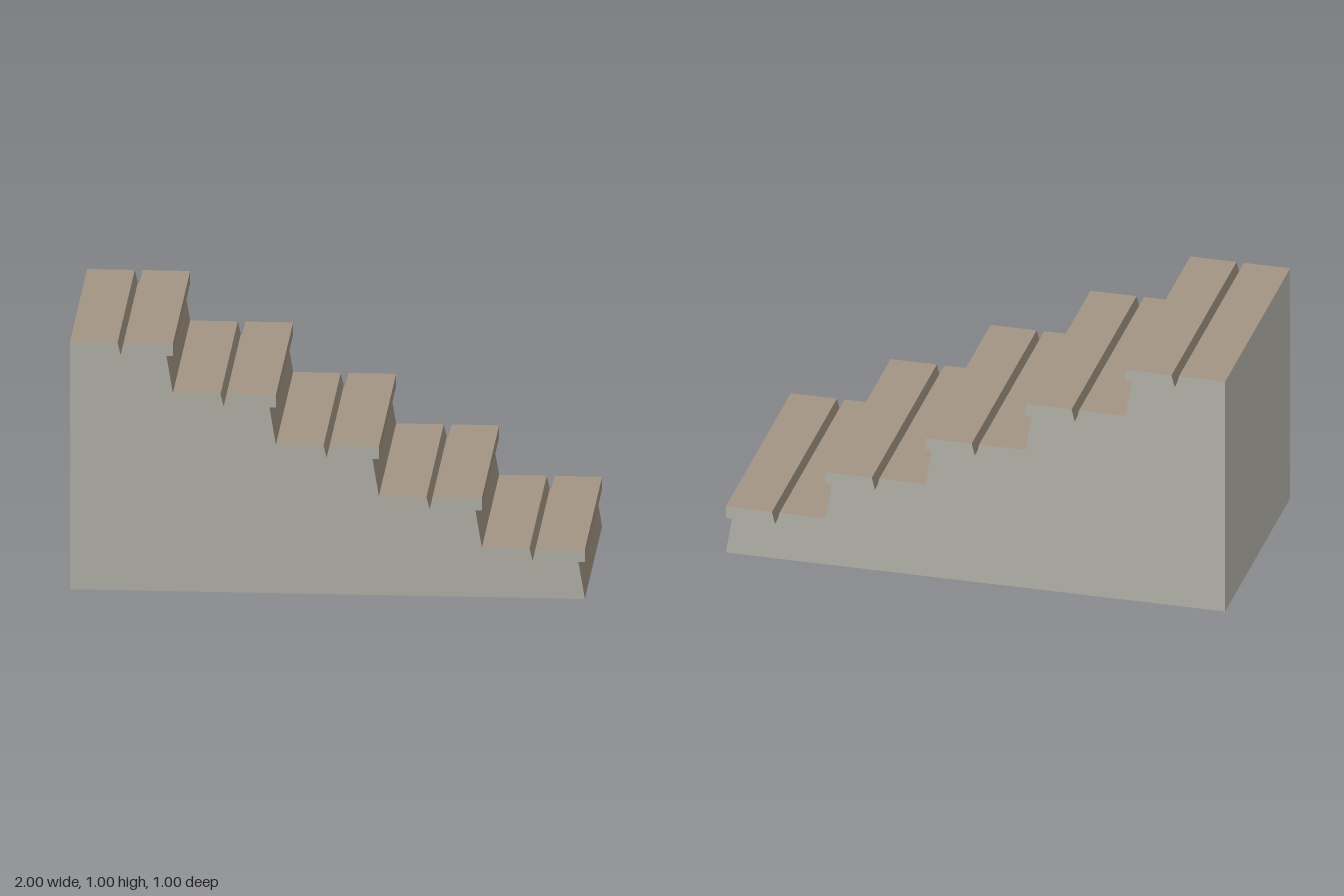
import * as THREE from 'three';

const STEPS = 5, RISE = 0.2, RUN = 0.4, DEPTH = 1;

// Side profile: back edge, then each tread, groove, nosing and leaning riser
function stairProfile() {
  const shape = new THREE.Shape();
  shape.moveTo(-1, 0);
  shape.lineTo(-1, 1);
  for (let i = 0; i < STEPS; i++) {
    const top = 1 - i * RISE;
    const nose = -0.6 + i * RUN;
    const mid = nose - 0.2;
    // V-shaped grip groove
    shape.lineTo(mid - 0.015, top);
    shape.lineTo(mid - 0.003, top - 0.05);
    shape.lineTo(mid + 0.003, top - 0.05);
    shape.lineTo(mid + 0.015, top);
    // overhanging nosing and undercut riser
    shape.lineTo(nose, top);
    shape.lineTo(nose, top - 0.05);
    shape.lineTo(nose - 0.025, top - 0.05);
    shape.lineTo(nose, top - RISE);
  }
  shape.closePath();
  return shape;
}

export function createModel() {
  const stone = new THREE.MeshStandardMaterial({ color: 0xbdbcb3 });
  stone.name = 'greyStone';
  const tread = new THREE.MeshStandardMaterial({ color: 0xa39584 });
  tread.name = 'tanTread';

  const geometry = new THREE.ExtrudeGeometry(stairProfile(), { depth: DEPTH, bevelEnabled: false });
  geometry.translate(0, 0, -DEPTH / 2);

  // Grey for the flat sides, back and base; tan for every stepped surface
  const pos = geometry.attributes.position;
  const same = (get, i, value) =>
    [i, i + 1, i + 2].every((k) => Math.abs(get(k) - value) < 1e-5);
  const x = (k) => pos.getX(k), y = (k) => pos.getY(k), z = (k) => pos.getZ(k);
  geometry.clearGroups();
  let start = 0, current = -1;
  for (let i = 0; i < pos.count; i += 3) {
    const grey = same(z, i, DEPTH / 2) || same(z, i, -DEPTH / 2) || same(x, i, -1) || same(y, i, 0);
    const index = grey ? 0 : 1;
    if (index !== current) {
      if (current >= 0) geometry.addGroup(start, i - start, current);
      start = i;
      current = index;
    }
  }
  geometry.addGroup(start, pos.count - start, current);

  const stairs = new THREE.Mesh(geometry, [stone, tread]);
  stairs.name = 'stairs';
  const group = new THREE.Group();
  group.name = 'staircase';
  group.add(stairs);
  return group;
}
